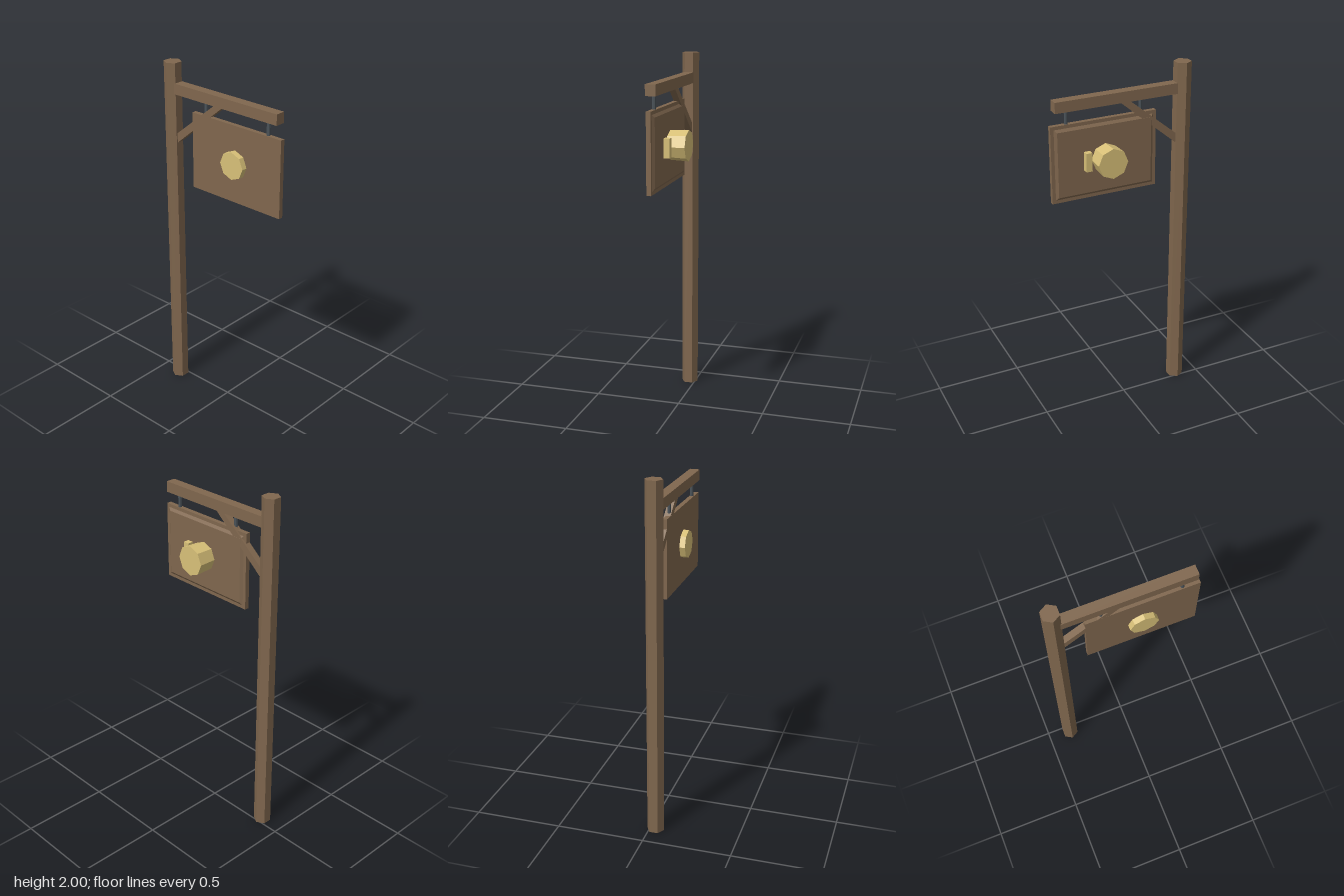
import * as THREE from 'three';

const material = (color) => new THREE.MeshStandardMaterial({ color, flatShading: true });

export function createModel() {
  const model = new THREE.Group();
  model.name = 'hangingSign';
  const wood = material(0x80674e);
  const iron = material(0x4a5258);
  const gold = material(0xd8c078);

  const add = (name, geometry, mat, x, y, z) => {
    const mesh = new THREE.Mesh(geometry, mat);
    mesh.name = name;
    mesh.position.set(x, y, z);
    model.add(mesh);
    return mesh;
  };

  // Hexagonal post and the beam running out from it
  add('post', new THREE.CylinderGeometry(0.049, 0.049, 2, 6), wood, -0.364, 1, 0.034);
  add('beam', new THREE.BoxGeometry(0.735, 0.06, 0.056), wood, 0.0155, 1.86, 0.035);

  // Diagonal brace, cut to meet the post and the beam
  const braceShape = new THREE.Shape([
    [-0.335, 1.54], [-0.322, 1.55], [0.012, 1.832], [-0.045, 1.832], [-0.322, 1.605], [-0.335, 1.594],
  ].map(([x, y]) => new THREE.Vector2(x, y)));
  const brace = new THREE.ExtrudeGeometry(braceShape, { depth: 0.036, bevelEnabled: false });
  add('brace', brace, wood, 0, 0, 0.0155);

  // Board with a raised, bevelled panel on its back
  add('board', new THREE.BoxGeometry(0.61, 0.435, 0.026), wood, 0.1, 1.5375, 0.039);
  const panel = new THREE.BoxGeometry(0.575, 0.4, 0.012);
  const p = panel.attributes.position;
  for (let i = 0; i < p.count; i++) {
    if (p.getZ(i) < 0) {
      p.setX(i, p.getX(i) - Math.sign(p.getX(i)) * 0.016);
      p.setY(i, p.getY(i) - Math.sign(p.getY(i)) * 0.016);
    }
  }
  add('backPanel', panel, wood, 0.1, 1.5375, 0.021);

  // Iron hangers between beam and board
  for (const x of [-0.117, 0.312]) {
    add('hanger', new THREE.CylinderGeometry(0.01, 0.01, 0.085, 8), iron, x, 1.793, 0.038);
  }

  // Tapered octagonal mug passing through the board, with its handle
  const mug = new THREE.CylinderGeometry(0.078, 0.085, 0.171, 8);
  mug.rotateX(Math.PI / 2);
  add('mug', mug, gold, 0.1, 1.54, -0.0025);
  add('mugHandle', new THREE.BoxGeometry(0.035, 0.105, 0.038), gold, 0.207, 1.54, 0.001);

  return model;
}
